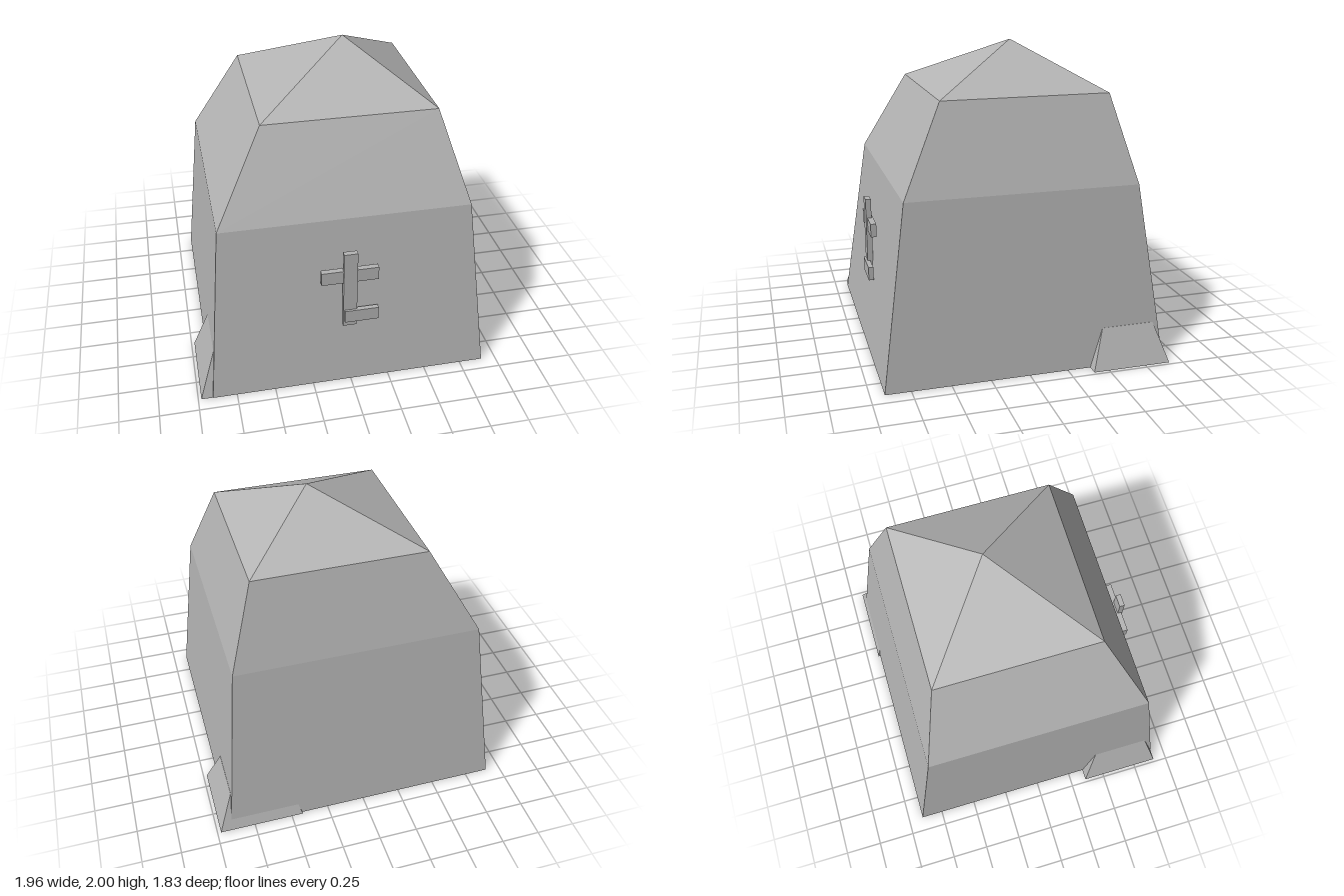
import * as THREE from 'three';

// Closed solid from rectangular rings [y, xMin, xMax, zMin, zMax]; an optional apex closes the top
function ringSolid(rings, apex) {
  const pos = [];
  const corners = ([y, x0, x1, z0, z1]) => [[x0, y, z1], [x1, y, z1], [x1, y, z0], [x0, y, z0]];
  const tri = (a, b, c) => pos.push(...a, ...b, ...c);
  const quad = (a, b, c, d) => { tri(a, b, c); tri(a, c, d); };
  const loops = rings.map(corners);
  for (let r = 0; r < loops.length - 1; r++) {
    for (let i = 0; i < 4; i++) {
      const j = (i + 1) % 4;
      quad(loops[r][i], loops[r][j], loops[r + 1][j], loops[r + 1][i]);
    }
  }
  const base = loops[0], top = loops[loops.length - 1];
  quad(base[3], base[2], base[1], base[0]);
  if (apex) for (let i = 0; i < 4; i++) tri(top[i], top[(i + 1) % 4], apex);
  else quad(...top);
  const geo = new THREE.BufferGeometry();
  geo.setAttribute('position', new THREE.Float32BufferAttribute(pos, 3));
  geo.computeVertexNormals();
  return geo;
}

export function createModel() {
  const group = new THREE.Group();
  const stone = new THREE.MeshStandardMaterial({ color: 0xb4b4b4 });
  stone.name = 'stone grey';

  const add = (name, geo, parent = group) => {
    const mesh = new THREE.Mesh(geo, stone);
    mesh.name = name;
    parent.add(mesh);
    return mesh;
  };

  // Tapered block with an off-centre pointed top
  add('stoneBody', ringSolid([
    [0, -0.905, 0.905, -0.9, 0.912],
    [1.15, -0.8, 0.793, -0.735, 0.75],
    [1.705, -0.483, 0.628, -0.585, 0.49],
  ], [0.145, 2, -0.085]));

  // Low footing stones poking out of two opposite corners
  add('backLeftFooting', ringSolid([
    [0, 0.425, 0.977, -0.914, -0.4],
    [0.25, 0.51, 0.882, -0.83, -0.485],
  ]));
  add('frontRightFooting', ringSolid([
    [0, -0.98, -0.43, 0.36, 0.909],
    [0.31, -0.876, -0.52, 0.445, 0.825],
  ]));

  // Raised emblem on the front: [name, xMin, xMax, yMin, yMax, zMin, zMax]
  const emblem = new THREE.Group();
  emblem.name = 'frontEmblem';
  group.add(emblem);
  for (const [name, x0, x1, y0, y1, z0, z1] of [
    ['emblemPost', -0.046, 0.042, 0.415, 0.965, 0.834, 0.87],
    ['emblemUpperBar', -0.185, 0.18, 0.748, 0.837, 0.824, 0.861],
    ['emblemLowerBar', -0.038, 0.18, 0.452, 0.54, 0.853, 0.885],
  ]) {
    add(name, new THREE.BoxGeometry(x1 - x0, y1 - y0, z1 - z0), emblem)
      .position.set((x0 + x1) / 2, (y0 + y1) / 2, (z0 + z1) / 2);
  }

  return group;
}
